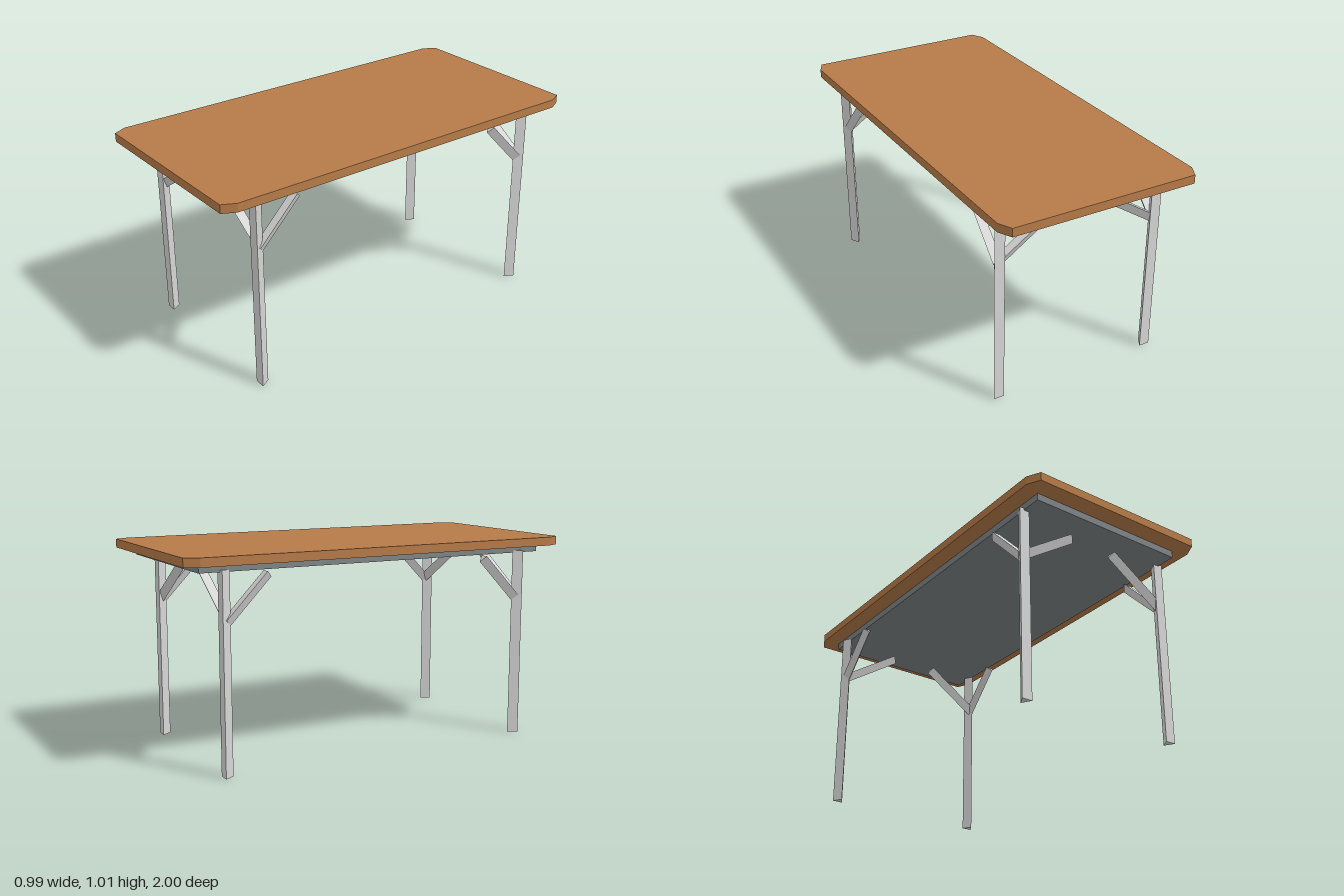
import * as THREE from 'three';

const wood = new THREE.MeshStandardMaterial({ name: 'wood', color: 0xb67b48 });
const apronGrey = new THREE.MeshStandardMaterial({ name: 'apronGrey', color: 0x7e8486 });
const legGrey = new THREE.MeshStandardMaterial({ name: 'legGrey', color: 0xd6d6d6, flatShading: true });

// Three-sided bar from a to b, one edge pointing towards apex
function bar(name, a, b, radius, apex) {
  const from = new THREE.Vector3(...a), to = new THREE.Vector3(...b);
  const y = to.clone().sub(from);
  const geo = new THREE.CylinderGeometry(radius, radius, y.length(), 3);
  y.normalize();
  const z = new THREE.Vector3(...apex);
  z.addScaledVector(y, -z.dot(y)).normalize();
  const x = new THREE.Vector3().crossVectors(y, z);
  geo.applyMatrix4(new THREE.Matrix4().makeBasis(x, y, z).setPosition(from.add(to).multiplyScalar(0.5)));
  const mesh = new THREE.Mesh(geo, legGrey);
  mesh.name = name;
  return mesh;
}

export function createModel() {
  const table = new THREE.Group();
  table.name = 'table';

  // Top board with clipped corners
  const w = 0.495, l = 1, cx = 0.033, cz = 0.065;
  const outline = new THREE.Shape([
    [w, l - cz], [w - cx, l], [-w + cx, l], [-w, l - cz],
    [-w, -l + cz], [-w + cx, -l], [w - cx, -l], [w, -l + cz],
  ].map(([x, y]) => new THREE.Vector2(x, y)));
  const boardGeo = new THREE.ExtrudeGeometry(outline, { depth: 0.042, bevelEnabled: false });
  boardGeo.rotateX(-Math.PI / 2).translate(0, 0.965, 0);
  const board = new THREE.Mesh(boardGeo, wood);
  board.name = 'tableTop';
  table.add(board);

  // Solid panel under the board
  const apron = new THREE.Mesh(new THREE.BoxGeometry(0.828, 0.036, 1.826), apronGrey);
  apron.name = 'underPanel';
  apron.position.y = 0.948;
  table.add(apron);

  // Legs with a cross brace and a lengthwise brace each
  for (const sx of [1, -1]) {
    for (const sz of [1, -1]) {
      const corner = new THREE.Group();
      corner.name = (sz > 0 ? 'front' : 'back') + (sx > 0 ? 'Left' : 'Right') + 'Leg';
      const x = sx * 0.411, down = [0, -1, 0];
      corner.add(
        bar('leg', [x, 0, sz * 0.7975], [x, 0.94, sz * 0.7975], 0.0307, [0, 0, -sz]),
        bar('crossBrace', [sx * 0.414, 0.71, sz * 0.787], [sx * 0.124, 0.9015, sz * 0.787], 0.0263, down),
        bar('lengthBrace', [x, 0.708, sz * 0.785], [x, 0.914, sz * 0.585], 0.0258, down),
      );
      table.add(corner);
    }
  }
  return table;
}
